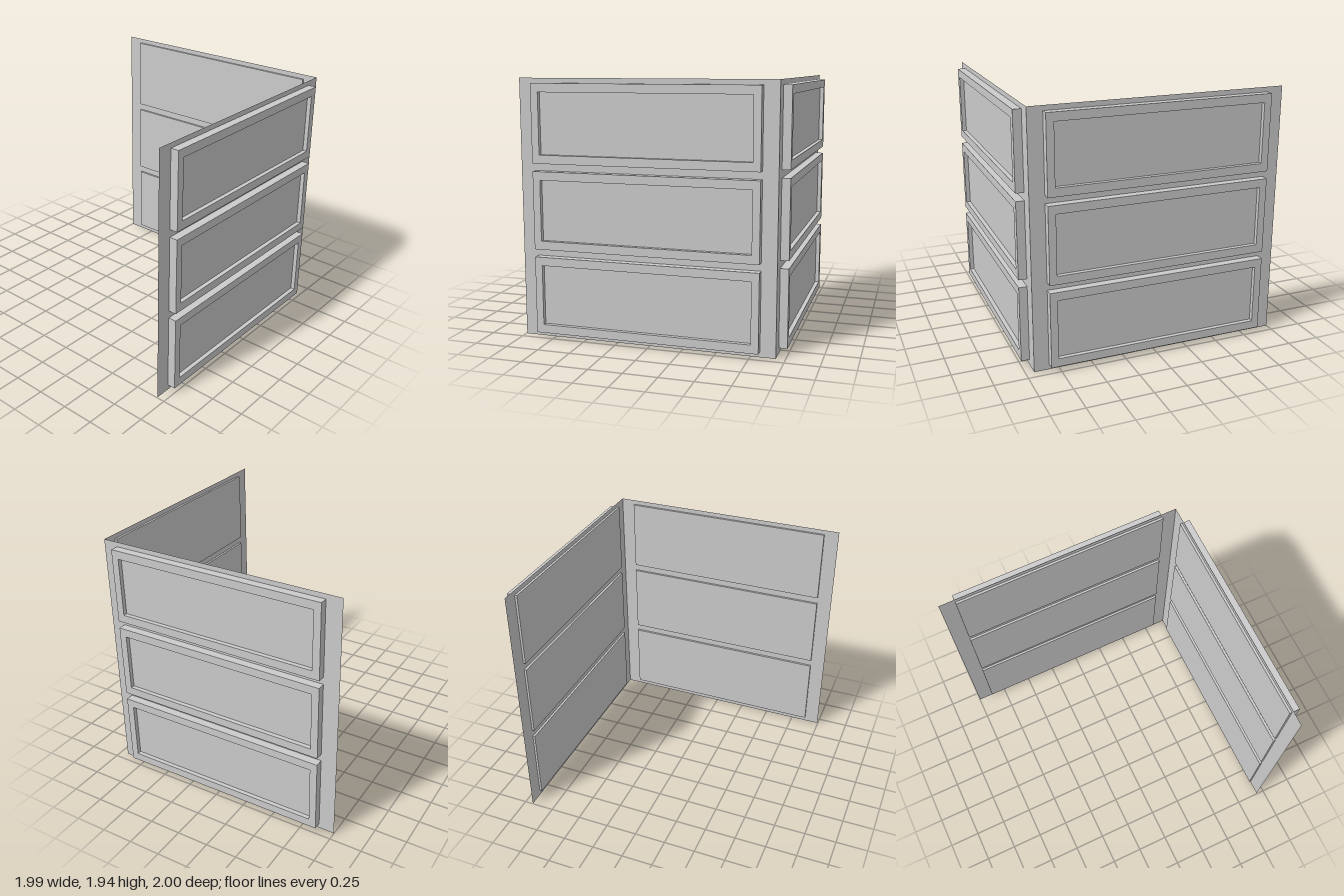
import * as THREE from 'three';

const material = new THREE.MeshStandardMaterial({ color: 0xcccccc, side: THREE.DoubleSide });
const PITCH = 0.64, HEIGHT = 0.582, THICK = 0.08, RECESS = 0.033;

function addBox(group, name, w, h, d, x, y, z) {
  const mesh = new THREE.Mesh(new THREE.BoxGeometry(w, h, d), material);
  mesh.name = name;
  mesh.position.set(x, y, z);
  group.add(mesh);
}

// Drawer front with a sunken centre panel; its outer face lies at z = 0
function drawerFront(width) {
  const g = new THREE.Group();
  g.name = 'drawerFront';
  const side = 0.056, rail = 0.064;
  const inner = width - 2 * side;
  addBox(g, 'centrePanel', inner, HEIGHT - 2 * rail, THICK - RECESS, 0, 0, -(THICK + RECESS) / 2);
  for (const s of [-1, 1]) {
    addBox(g, 'stile', side, HEIGHT, THICK, s * (width - side) / 2, 0, -THICK / 2);
    addBox(g, 'rail', inner, rail, THICK, 0, s * (HEIGHT - rail) / 2, -THICK / 2);
  }
  return g;
}

// One cabinet face: a thin sheet carrying three stacked drawers, in the XY plane
function cabinetFace(name, sheetMin, sheetMax, drawerMin, drawerMax) {
  const g = new THREE.Group();
  g.name = name;
  const sheet = new THREE.Mesh(new THREE.PlaneGeometry(sheetMax - sheetMin, 1.94), material);
  sheet.name = 'backingSheet';
  sheet.position.set((sheetMin + sheetMax) / 2, 0.97, 0);
  g.add(sheet);
  for (let i = 0; i < 3; i++) {
    const drawer = drawerFront(drawerMax - drawerMin);
    drawer.position.set((drawerMin + drawerMax) / 2, 0.332 + i * PITCH, 0.062);
    g.add(drawer);
  }
  return g;
}

export function createModel() {
  const model = new THREE.Group();
  model.name = 'cornerDrawerCabinet';

  const front = cabinetFace('frontFace', -0.995, 0.932, -0.877, 0.819);
  front.position.z = 0.937;

  // Side face turned to look along +x, so its local x runs towards -z
  const side = cabinetFace('sideFace', -0.937, 0.998, -0.825, 0.875);
  side.rotation.y = Math.PI / 2;
  side.position.x = 0.932;

  model.add(front, side);
  return model;
}
